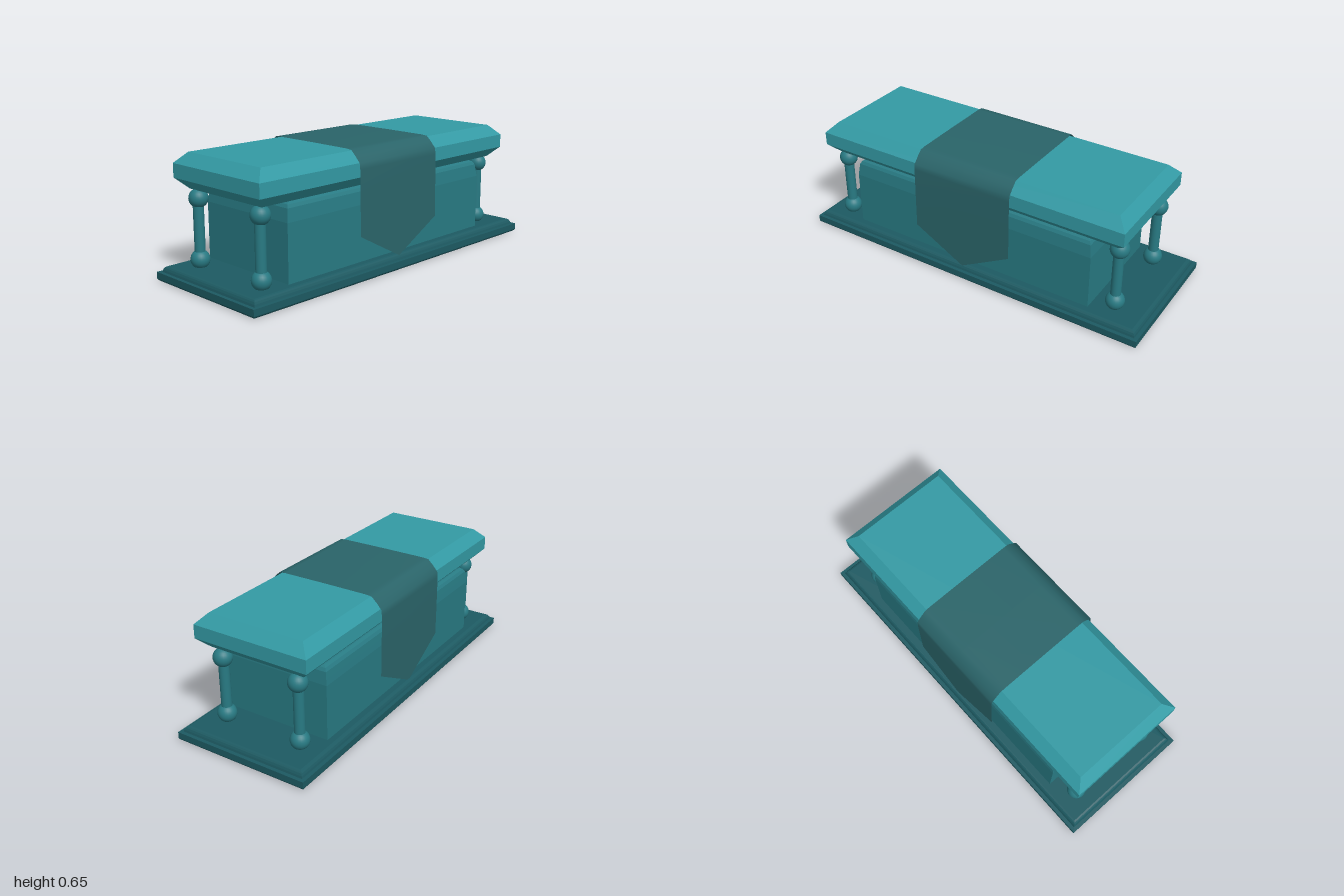
import * as THREE from 'three';

const material = (color, extra = {}) => {
  const m = new THREE.MeshStandardMaterial(extra);
  m.color.set(color);
  return m;
};

// Closed solid through stacked rectangles: [x0, x1, z0, z1, y], from bottom cap to top cap
function stackedRects(levels) {
  const pos = [], index = [], n = levels.length;
  for (const [x0, x1, z0, z1, y] of levels)
    pos.push(x0, y, z1, x1, y, z1, x1, y, z0, x0, y, z0);
  for (let i = 0; i < n - 1; i++)
    for (let k = 0; k < 4; k++) {
      const a = i * 4 + k, b = i * 4 + (k + 1) % 4;
      index.push(a, b, b + 4, a, b + 4, a + 4);
    }
  const t = (n - 1) * 4;
  index.push(0, 2, 1, 0, 3, 2, t, t + 1, t + 2, t, t + 2, t + 3);
  const g = new THREE.BufferGeometry();
  g.setAttribute('position', new THREE.Float32BufferAttribute(pos, 3));
  g.setIndex(index);
  const flat = g.toNonIndexed();
  flat.computeVertexNormals();
  return flat;
}

// Levels from one outline and a list of [inset, y]
const inset = ([x0, x1, z0, z1], steps) =>
  steps.map(([d, y]) => [x0 + d, x1 - d, z0 + d, z1 - d, y]);

const rectPoints = (x0, x1, z) =>
  [[x0, -z], [x1, -z], [x1, z], [x0, z]].map(p => new THREE.Vector2(...p));

export function createModel() {
  const group = new THREE.Group();
  const add = (name, geometry, mat, parent = group) => {
    const mesh = new THREE.Mesh(geometry, mat);
    mesh.name = name;
    parent.add(mesh);
    return mesh;
  };

  const bodyMat = material(0x287a83);
  const lidMat = material(0x339aa4);
  const baseMat = material(0x1d5a62);
  const frameMat = material(0x5fc0ca);
  const clothMat = material(0x2a6469, { side: THREE.DoubleSide });

  // Two-step plinth, recessed underneath, with a rounded upper edge
  add('base', stackedRects(inset([-1, 1, -0.374, 0.374], [
    [0.016, 0.036], [0.016, 0], [0.01, 0], [0.004, 0.005], [0, 0.012], [0, 0.046], [0.019, 0.046],
    [0.022, 0.057], [0.027, 0.067], [0.033, 0.073], [0.042, 0.076],
  ])), baseMat);

  // Thin rectangular line in the recess under the plinth
  const frame = new THREE.Shape(rectPoints(-0.735, 0.705, 0.305));
  frame.holes.push(new THREE.Path(rectPoints(-0.722, 0.692, 0.292)));
  const frameGeo = new THREE.ExtrudeGeometry(frame, { depth: 0.004, bevelEnabled: false });
  frameGeo.rotateX(-Math.PI / 2);
  add('undersideFrame', frameGeo, frameMat).position.y = 0.034;

  // Chest with softened top edges
  add('chest', stackedRects(inset([-0.73, 0.7, -0.3, 0.3], [
    [0, 0.07], [0, 0.37], [0.004, 0.4], [0.009, 0.436], [0.018, 0.452], [0.032, 0.461],
  ])), bodyMat);

  // Slab lid, bevelled above and below
  add('lid', stackedRects(inset([-0.915, 0.876, -0.317, 0.33], [
    [0.054, 0.464], [0, 0.518], [0, 0.59], [0.054, 0.645],
  ])), lidMat);

  // Corner columns with a ball at each end
  const ball = new THREE.SphereGeometry(0.049, 24, 16);
  const shaft = new THREE.CylinderGeometry(0.027, 0.027, 0.29, 24);
  for (const [x, z] of [[-0.846, -0.22], [-0.846, 0.245], [0.808, -0.22], [0.808, 0.22]]) {
    const column = new THREE.Group();
    column.name = 'column';
    column.position.set(x, 0, z);
    add('shaft', shaft, bodyMat, column).position.y = 0.267;
    add('lowerBall', ball, bodyMat, column).position.y = 0.112;
    add('upperBall', ball, bodyMat, column).position.set(0.003, 0.421, 0);
    group.add(column);
  }

  // Draped cloth: a strip bent over the lid, both ends cut to a point
  const path = [ // [z, y] from back hem to front hem
    [-0.333, 0.226], [-0.333, 0.4], [-0.332, 0.56], [-0.328, 0.592], [-0.3, 0.624], [-0.272, 0.65],
    [-0.24, 0.653], [0, 0.654], [0.25, 0.653],
    [0.284, 0.65], [0.312, 0.624], [0.341, 0.592], [0.345, 0.56], [0.348, 0.4], [0.35, 0.226],
  ];
  const cloth = new THREE.PlaneGeometry(0.57, 1, 2, path.length - 1);
  const p = cloth.attributes.position;
  for (let i = 0; i < p.count; i++) {
    const row = Math.floor(i / 3), [z, y] = path[row];
    const tip = i % 3 === 1 && (row === 0 || row === path.length - 1);
    p.setXYZ(i, p.getX(i) - 0.015, tip ? 0.07 : y, z);
  }
  cloth.computeVertexNormals();
  add('cloth', cloth, clothMat);

  return group;
}
